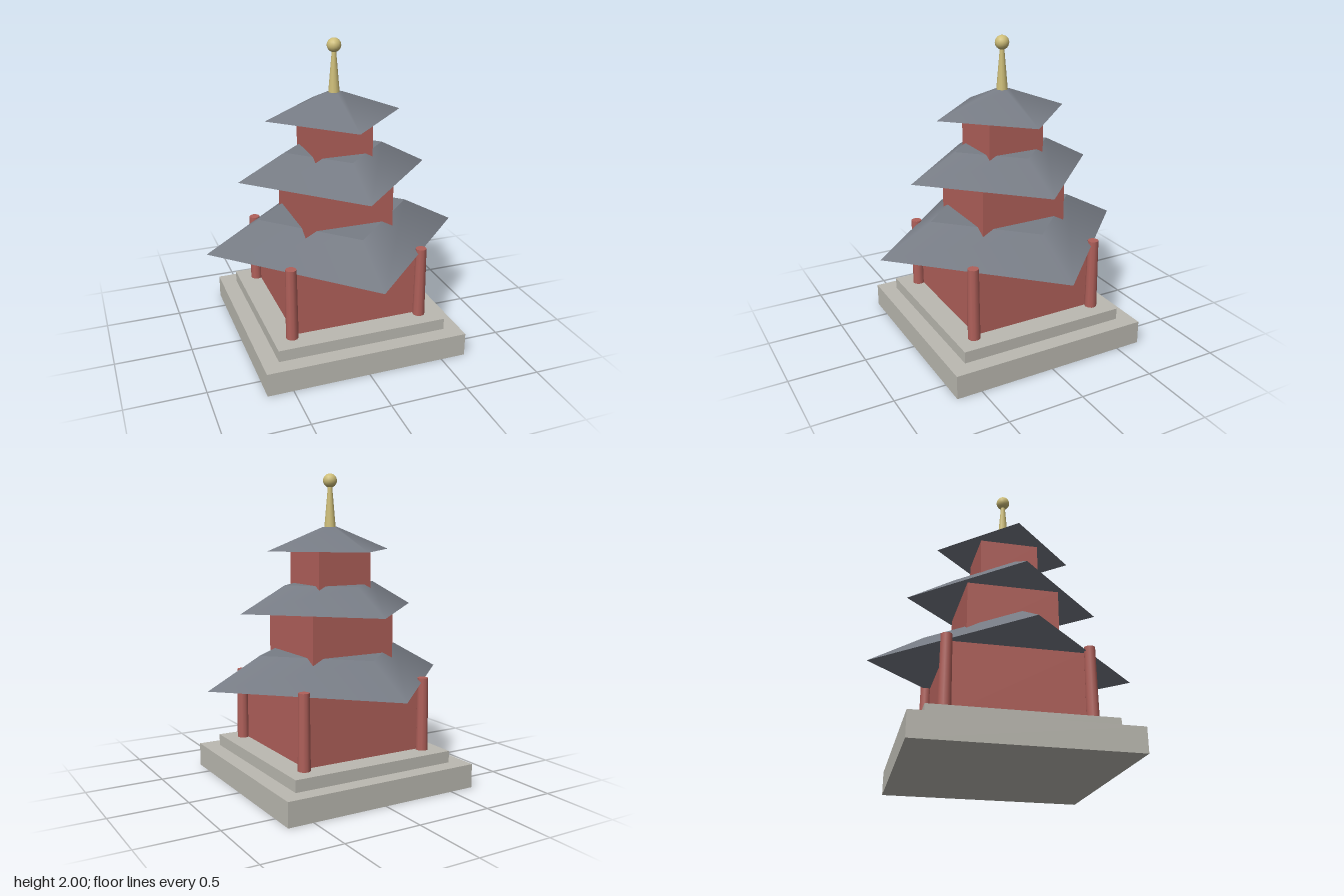
import * as THREE from 'three';

const mat = (name, color) => {
  const m = new THREE.MeshStandardMaterial({ color });
  m.name = name;
  return m;
};

export function createModel() {
  const stone = mat('stone', 0xbbb9b1);
  const red = mat('red lacquer', 0xb0605a);
  const slate = mat('slate roof', 0x787d86);
  const gold = mat('gold', 0xcdbd78);

  const pagoda = new THREE.Group();
  pagoda.name = 'pagoda';

  const add = (name, geometry, material, x, y, z) => {
    const mesh = new THREE.Mesh(geometry, material);
    mesh.name = name;
    mesh.position.set(x, y, z);
    pagoda.add(mesh);
  };
  // Square block given by half width and the heights of its bottom and top
  const block = (name, half, y0, y1, material) =>
    add(name, new THREE.BoxGeometry(half * 2, y1 - y0, half * 2), material, 0, (y0 + y1) / 2, 0);
  // Tapered round or polygonal part between two heights
  const taper = (name, rTop, rBottom, y0, y1, sides, material, x = 0, z = 0) =>
    add(name, new THREE.CylinderGeometry(rTop, rBottom, y1 - y0, sides), material, x, (y0 + y1) / 2, z);

  // Stepped stone base
  block('baseLower', 0.665, 0, 0.154, stone);
  block('baseUpper', 0.56, 0.154, 0.23, stone);

  // Three storeys, each with a roof whose corners point along the axes
  const storeys = [
    { half: 0.41, y0: 0.23, y1: 0.68, eave: 0.862, ridge: 0.513, r0: 0.675, r1: 0.864 },
    { half: 0.293, y0: 0.78, y1: 1.14, eave: 0.637, ridge: 0.333, r0: 1.134, r1: 1.298 },
    { half: 0.19, y0: 1.24, y1: 1.52, eave: 0.453, ridge: 0.053, r0: 1.513, r1: 1.662 },
  ];
  storeys.forEach((s, i) => {
    block(`walls${i + 1}`, s.half, s.y0, s.y1, red);
    taper(`roof${i + 1}`, s.ridge, s.eave, s.r0, s.r1, 4, slate);
  });

  // Corner columns of the lowest storey
  for (const x of [-1, 1])
    for (const z of [-1, 1])
      taper('column', 0.035, 0.04, 0.23, 0.703, 10, red, x * 0.435, z * 0.435);

  // Spire and ball
  taper('spire', 0.013, 0.037, 1.655, 1.93, 12, gold);
  add('spireBall', new THREE.SphereGeometry(0.045, 16, 12), gold, 0, 1.955, 0);

  return pagoda;
}
